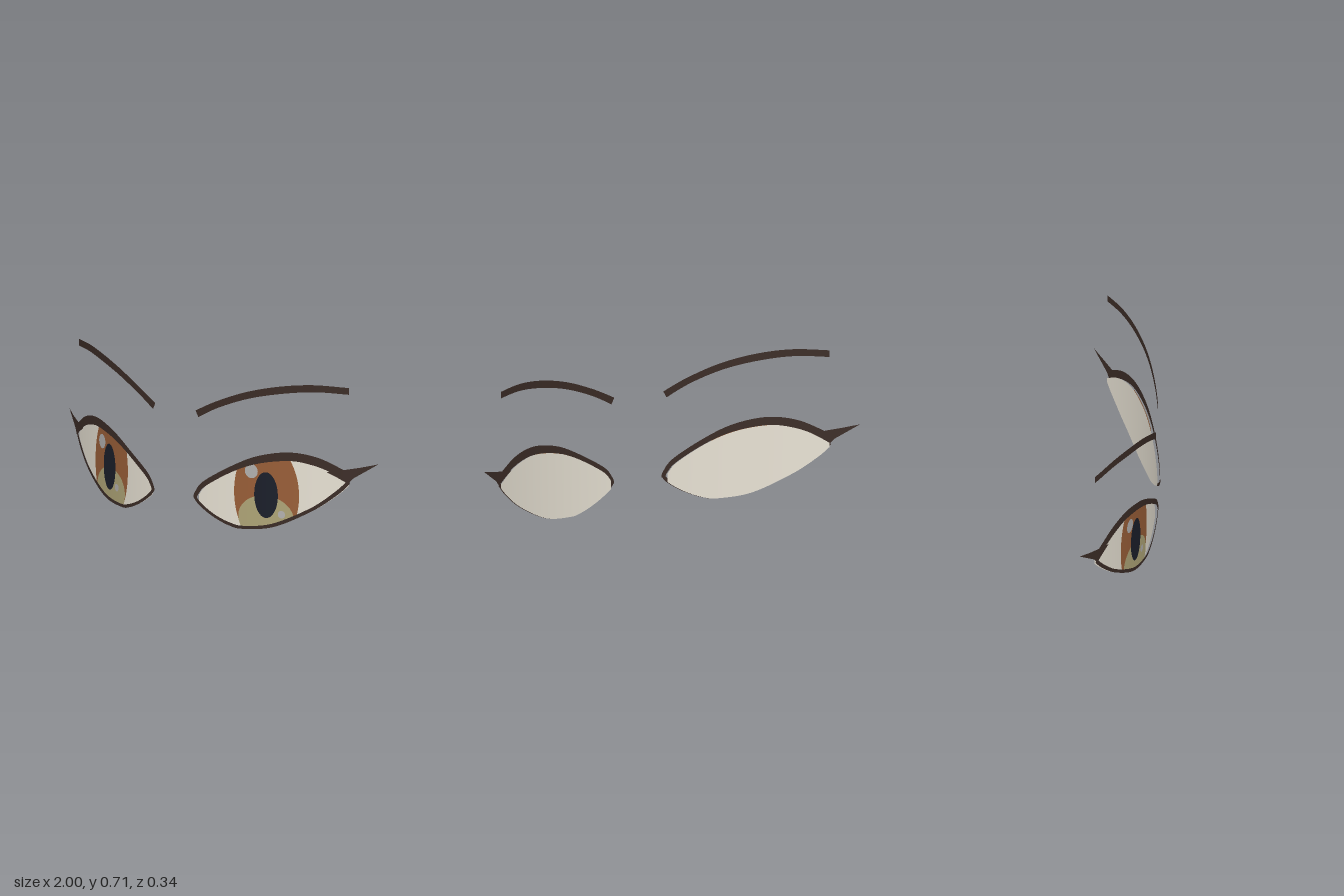
import * as THREE from 'three';

const COLORS = {
  dark: 0x3b2c26, white: 0xe8e2d4, iris: 0x9a5f38, irisGlow: 0xb0a678, pupil: 0x1b1f2a, glint: 0xb4b2b0,
};

// Every part lies on one curved face surface, lifted by a small offset.
const faceZ = (x) => 0.17 - 0.028 * x - 0.325 * x * x;

const spline = (pts, n = 64) =>
  new THREE.SplineCurve(pts.map(([x, y]) => new THREE.Vector2(x, y))).getSpacedPoints(n);

// Height of a sampled curve at a given x.
function heightAt(curve, x) {
  for (let i = 1; i < curve.length; i++) {
    const a = curve[i - 1], b = curve[i];
    if (x <= b.x) return a.y + (b.y - a.y) * Math.max(0, (x - a.x) / (b.x - a.x));
  }
  return curve[curve.length - 1].y;
}

// Ribbon between two edges of equal length; side = -1 mirrors it.
function ribbon(name, top, bottom, lift, color, side) {
  const pos = [], idx = [];
  top.forEach((p, i) => {
    for (const q of [p, bottom[i]]) pos.push(side * q.x, q.y, faceZ(q.x) + lift);
    if (i === 0) return;
    const a = 2 * i - 2, b = a + 1, c = a + 2, d = a + 3;
    if (side > 0) idx.push(a, b, c, b, d, c);
    else idx.push(a, c, b, b, c, d);
  });
  const geo = new THREE.BufferGeometry();
  geo.setAttribute('position', new THREE.Float32BufferAttribute(pos, 3));
  geo.setIndex(idx);
  geo.computeVertexNormals();
  const mesh = new THREE.Mesh(geo, new THREE.MeshStandardMaterial({ color, side: THREE.DoubleSide }));
  mesh.name = name;
  return mesh;
}

// Edges of the lids, brow and lash wing, from inner to outer corner
const upperOuter = spline([[0.125, 0.12], [0.135, 0.15], [0.19, 0.21], [0.37, 0.312], [0.49, 0.36],
  [0.626, 0.383], [0.752, 0.364], [0.866, 0.308]]);
const upperInner = spline([[0.145, 0.12], [0.155, 0.142], [0.2, 0.187], [0.35, 0.272], [0.48, 0.32],
  [0.62, 0.342], [0.717, 0.33], [0.795, 0.302], [0.875, 0.253]]);
const lowerOuter = spline([[0.125, 0.125], [0.145, 0.1], [0.19, 0.068], [0.25, 0.036], [0.32, 0.01], [0.39, 0],
  [0.545, 0.022], [0.717, 0.108], [0.825, 0.19], [0.882, 0.25]]);
const lowerInner = spline([[0.14, 0.13], [0.16, 0.108], [0.2, 0.079], [0.26, 0.047], [0.33, 0.023], [0.4, 0.015],
  [0.54, 0.038], [0.71, 0.122], [0.81, 0.2], [0.87, 0.262]]);
const browTop = spline([[0.13, 0.535], [0.248, 0.592], [0.406, 0.652], [0.566, 0.691], [0.72, 0.709], [0.872, 0.704]]);
const browBottom = spline([[0.146, 0.505], [0.264, 0.565], [0.42, 0.622], [0.58, 0.658], [0.73, 0.676], [0.872, 0.672]]);
const wingTop = [[0.785, 0.3], [0.83, 0.306], [0.862, 0.315], [0.93, 0.33], [0.998, 0.348]];
const wingBottom = [[0.785, 0.3], [0.83, 0.277], [0.876, 0.249], [0.895, 0.275], [0.998, 0.348]];
const toVectors = (pts) => pts.map(([x, y]) => new THREE.Vector2(x, y));

// Ellipse on the eyeball, trimmed to the eye opening
function disc(name, cx, cy, rx, ry, lift, color, side) {
  const top = [], bottom = [], n = 48;
  for (let i = 0; i <= n; i++) {
    const t = (Math.PI * i) / n;
    const x = cx - rx * Math.cos(t), h = ry * Math.sin(t);
    const low = heightAt(lowerOuter, x) + 0.004, high = heightAt(upperInner, x) + 0.004;
    top.push(new THREE.Vector2(x, Math.max(low, Math.min(high, cy + h))));
    bottom.push(new THREE.Vector2(x, Math.min(high, Math.max(low, cy - h))));
  }
  return ribbon(name, top, bottom, lift, color, side);
}

// Eye white fills the opening between the lids
function eyeWhite(side) {
  const top = [], bottom = [], n = 64;
  for (let i = 0; i <= n; i++) {
    const x = 0.51 - 0.361 * Math.cos((Math.PI * i) / n);
    top.push(new THREE.Vector2(x, heightAt(upperInner, x) + 0.004));
    bottom.push(new THREE.Vector2(x, heightAt(lowerOuter, x) + 0.002));
  }
  return ribbon('eyeWhite', top, bottom, -0.002, COLORS.white, side);
}

function eye(side) {
  const group = new THREE.Group();
  group.name = side > 0 ? 'leftEye' : 'rightEye';
  group.add(
    eyeWhite(side),
    disc('iris', 0.5, 0.175, 0.157, 0.25, 0.001, COLORS.iris, side),
    disc('irisGlow', 0.5, 0.06, 0.134, 0.107, 0.003, COLORS.irisGlow, side),
    disc('pupil', 0.505, 0.17, 0.057, 0.109, 0.005, COLORS.pupil, side),
    // Glints sit on the same world side in both eyes
    disc('largeGlint', 0.505 - 0.07 * side, 0.279, 0.032, 0.034, 0.007, COLORS.glint, side),
    disc('smallGlint', 0.507 + 0.073 * side, 0.083, 0.017, 0.018, 0.007, COLORS.glint, side),
    ribbon('upperLid', upperOuter, upperInner, 0.01, COLORS.dark, side),
    ribbon('lowerLid', lowerInner, lowerOuter, 0.009, COLORS.dark, side),
    ribbon('lashWing', toVectors(wingTop), toVectors(wingBottom), 0.013, COLORS.dark, side),
    ribbon('eyebrow', browTop, browBottom, 0, COLORS.dark, side),
  );
  return group;
}

export function createModel() {
  const model = new THREE.Group();
  model.name = 'eyes';
  model.add(eye(1), eye(-1));
  return model;
}
